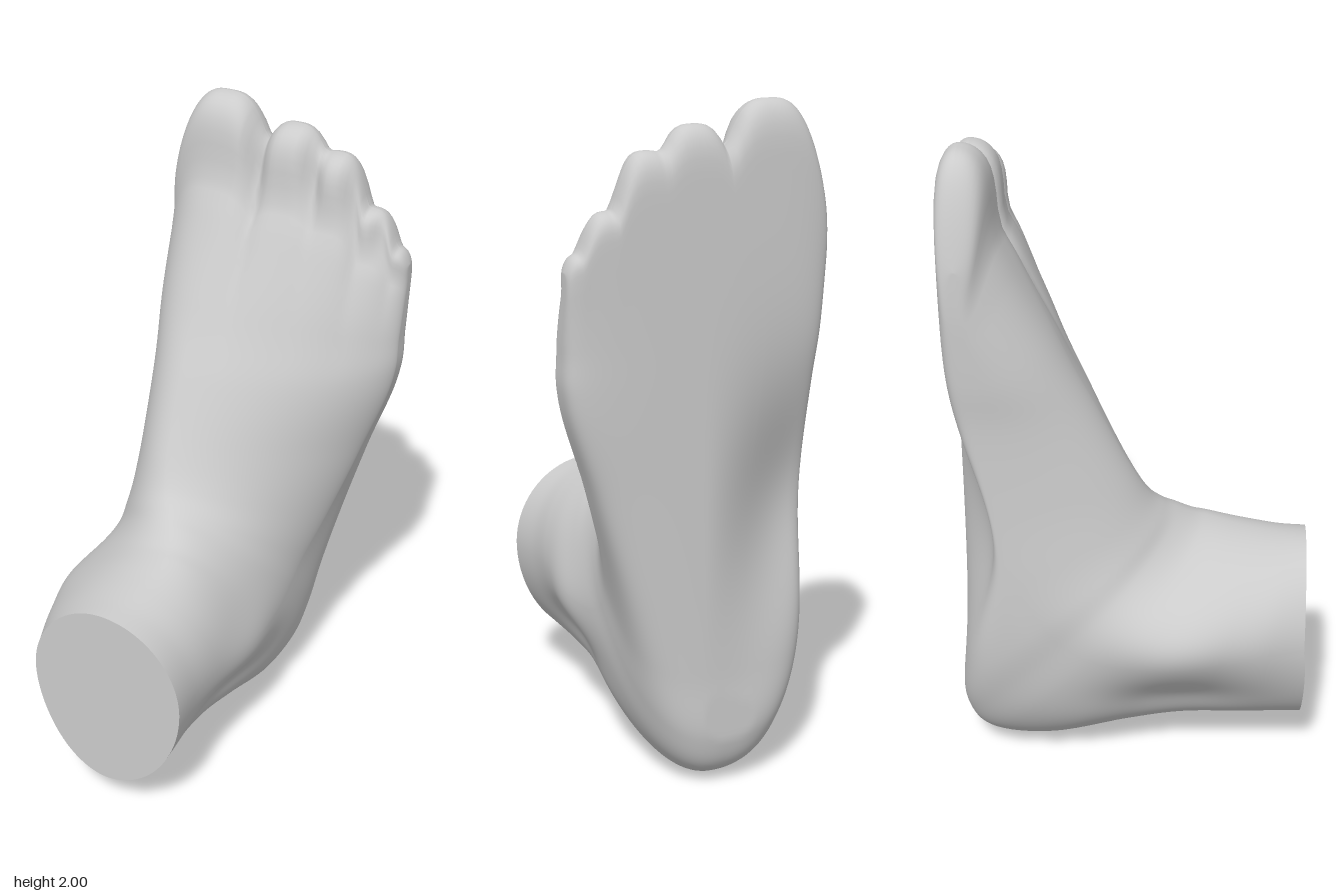
import * as THREE from 'three';

// Cross-sections from the toes, fanning round the heel, to the cut ankle:
// [topY, topZ, soleY, soleZ, xMin, xMax, xPeak, widestAt, topRoundness, soleRoundness]
// Roundness: below 1 is boxy, 1 an ellipse, above 1 is pinched.
const SECTIONS = [
  [2.00, -0.385, 2.00, -0.53, -0.365, 0.42, -0.10, 0.45, 0.65, 0.4],
  [1.75, -0.355, 1.75, -0.53, -0.37, 0.42, -0.12, 0.4, 0.9, 0.4],
  [1.40, -0.20, 1.40, -0.53, -0.365, 0.42, -0.16, 0.33, 1.25, 0.4],
  [1.20, -0.10, 1.18, -0.53, -0.355, 0.41, -0.16, 0.28, 1.35, 0.4],
  [1.00, 0.00, 0.90, -0.53, -0.36, 0.325, -0.15, 0.28, 1.4, 0.42],
  [0.90, 0.055, 0.60, -0.53, -0.37, 0.25, -0.13, 0.35, 1.3, 0.45],
  [0.85, 0.10, 0.35, -0.53, -0.37, 0.205, -0.10, 0.44, 1.2, 0.55],
  [0.82, 0.14, 0.15, -0.53, -0.36, 0.19, -0.07, 0.51, 1.12, 0.75],
  [0.79, 0.19, 0.03, -0.465, -0.36, 0.185, -0.05, 0.55, 1.07, 0.9],
  [0.775, 0.235, 0.00, -0.28, -0.36, 0.18, -0.04, 0.57, 1.03, 1],
  [0.757, 0.31, 0.055, -0.04, -0.36, 0.18, -0.05, 0.58, 1, 1.1],
  [0.746, 0.38, 0.095, 0.14, -0.355, 0.175, -0.06, 0.58, 1, 1.1],
  [0.738, 0.455, 0.11, 0.335, -0.345, 0.17, -0.07, 0.57, 1, 1.08],
  [0.735, 0.53, 0.12, 0.53, -0.315, 0.18, -0.08, 0.56, 1, 1.05],
];

// Toes, big to little: [x, tip height, width]
const TOES = [[-0.19, 1.995, 0.125], [0.04, 1.935, 0.105], [0.18, 1.87, 0.085], [0.295, 1.715, 0.08], [0.375, 1.605, 0.06]];
const TOE_GAPS = [-0.06, 0.12, 0.25, 0.34];

const AROUND = 192, STEPS = 10, BASE = 1.2;
const { clamp, smoothstep } = THREE.MathUtils;
const bell = (d, width) => Math.exp(-((d / width) ** 2));

function spline(a, b, c, d, t) {
  return b + 0.5 * t * (c - a + t * (2 * a - 5 * b + 4 * c - d + t * (3 * (b - c) + d - a)));
}

function sectionAt(f) {
  const last = SECTIONS.length - 1;
  const i = Math.min(Math.floor(f), last - 1);
  const row = (k) => SECTIONS[clamp(k, 0, last)];
  return row(i).map((_, n) => spline(row(i - 1)[n], row(i)[n], row(i + 1)[n], row(i + 2)[n], f - i));
}

// Height of the toe outline at x: a soft maximum over the toes
function tipAt(x) {
  const heights = TOES.map(([cx, top, w]) => top - 0.11 * Math.abs((x - cx) / w) ** 3);
  const soft = 0.02 * Math.log(heights.reduce((sum, h) => sum + Math.exp(h / 0.02), 0));
  return clamp(soft, 1.46, 2);
}

function skinPoint(section, angle) {
  const [topY, topZ, soleY, soleZ, xMin, xMax, xPeak, widest, eTop, eSole] = section;
  const c = Math.cos(angle), upper = Math.sin(angle) >= 0;
  const e = upper ? (c < 0 ? Math.min(eTop, 1) : eTop) : eSole;
  const rise = Math.pow(Math.max(0, 1 - Math.pow(Math.abs(c), 2 / e)), e / 2);
  const v = upper ? widest + (1 - widest) * rise : widest * (1 - rise);
  let x = xPeak + Math.abs(c) * ((c < 0 ? xMin : xMax) - xPeak);
  let y = soleY + (topY - soleY) * v;
  let z = soleZ + (topZ - soleZ) * v;

  if (upper) {
    // grooves between the toes, and a hollow behind the toe pads
    const w = smoothstep(y, 1.68, 1.9);
    for (const gap of TOE_GAPS) z -= 0.04 * w * rise * bell(x - gap, 0.03);
    z -= 0.01 * rise * bell(y - 1.76, 0.06);
  } else {
    // raised arch on the inner side of the sole
    z += 0.13 * smoothstep(-x, -0.02, 0.32) * rise * bell(y - 0.82, 0.34);
  }
  // ankle bones, and the hollows behind them
  const side = smoothstep(Math.abs(c), 0.2, 0.9);
  if (c < 0) x += side * (0.03 * bell(y - 0.27, 0.09) * bell(z - 0.14, 0.22) - 0.075 * bell(y - 0.53, 0.16) * bell(z - 0.13, 0.24));
  else x += side * (0.022 * bell(y - 0.42, 0.12) * bell(z - 0.07, 0.16) - 0.03 * bell(y - 0.27, 0.08) * bell(z - 0.14, 0.2));
  // round off the toe tips, then draw the forefoot back to the toe outline
  const t = clamp((y - 1.85) / 0.15, 0, 1);
  z = -0.47 + (z + 0.47) * Math.sqrt(1 - t ** 3);
  if (y > BASE) y -= (2 - tipAt(x)) * ((y - BASE) / (2 - BASE)) ** 1.4;
  return [x, y, Math.max(z, -0.53)];
}

export function createModel() {
  const group = new THREE.Group();
  group.name = 'foot';
  const material = new THREE.MeshStandardMaterial({ color: 0xcccccc });

  // skin lofted through all sections, with rings closer together at the toe tips
  const positions = [], index = [];
  const rings = (SECTIONS.length - 1) * STEPS;
  for (let i = 0; i <= rings; i++) {
    const f = i / STEPS;
    const section = sectionAt(f < 1 ? f * f : f);
    for (let j = 0; j < AROUND; j++) {
      positions.push(...skinPoint(section, (j / AROUND) * Math.PI * 2));
      if (i === rings) continue;
      const a = i * AROUND + j, b = i * AROUND + ((j + 1) % AROUND);
      index.push(a, b, a + AROUND, b, b + AROUND, a + AROUND);
    }
  }
  const skin = new THREE.BufferGeometry();
  skin.setAttribute('position', new THREE.Float32BufferAttribute(positions, 3));
  skin.setIndex(index);
  skin.computeVertexNormals();
  const foot = new THREE.Mesh(skin, material);
  foot.name = 'footAndAnkle';
  group.add(foot);

  // flat face closing the cut ankle
  const rim = [];
  for (let j = 0; j < AROUND; j++) {
    const k = (rings * AROUND + j) * 3;
    rim.push(new THREE.Vector2(positions[k], positions[k + 1]));
  }
  const cut = new THREE.Mesh(new THREE.ShapeGeometry(new THREE.Shape(rim)), material);
  cut.position.z = 0.53;
  cut.name = 'ankleCutFace';
  group.add(cut);

  return group;
}
